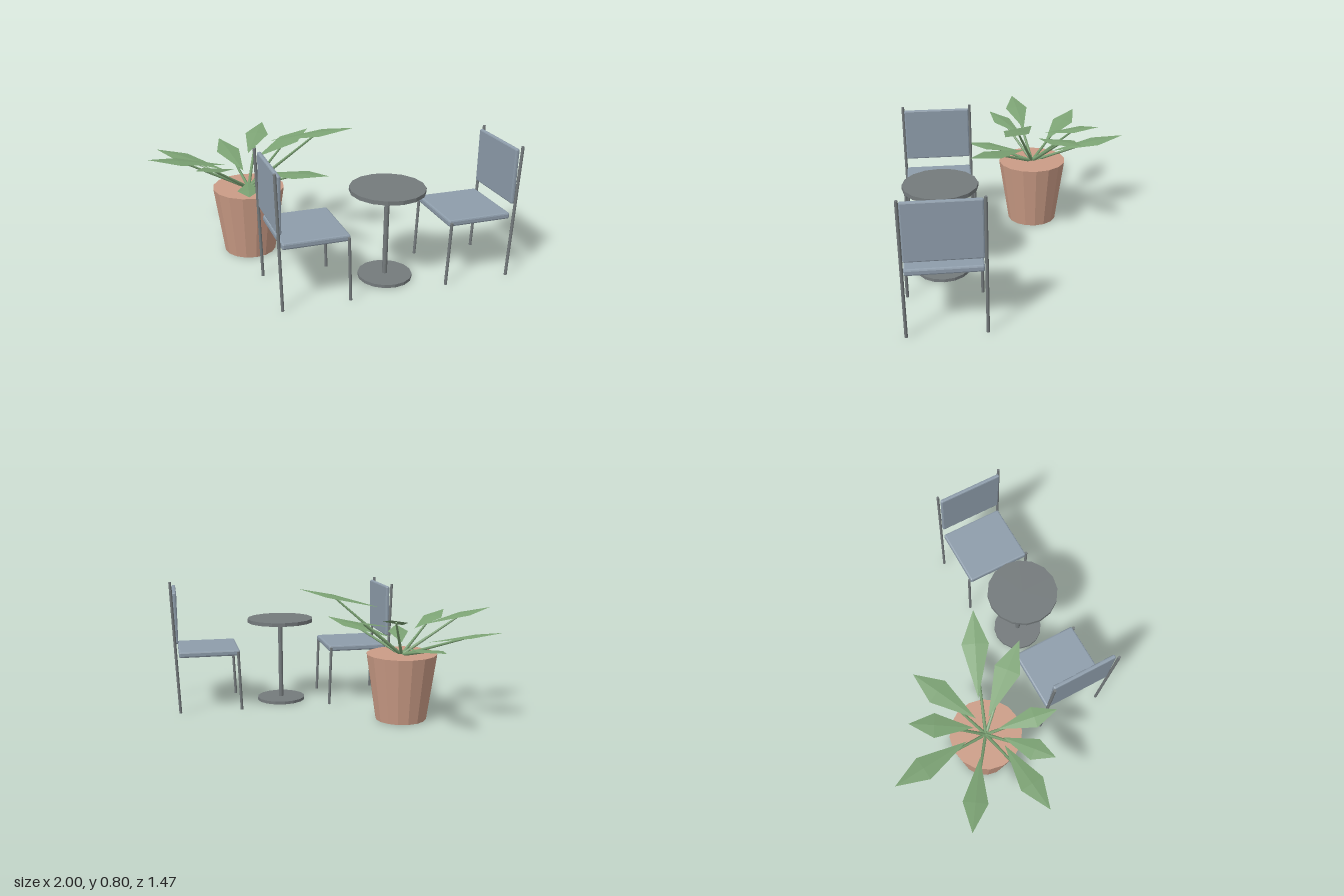
import * as THREE from 'three';
import { RoundedBoxGeometry } from 'three/addons/geometries/RoundedBoxGeometry.js';

function material(name, color) {
  const m = new THREE.MeshStandardMaterial({ color });
  m.name = name;
  return m;
}

// Faceted normals
function faceted(geometry) {
  const g = geometry.index ? geometry.toNonIndexed() : geometry;
  g.computeVertexNormals();
  return g;
}

function addMesh(parent, name, geometry, mat, x = 0, y = 0, z = 0) {
  const mesh = new THREE.Mesh(geometry, mat);
  mesh.name = name;
  mesh.position.set(x, y, z);
  parent.add(mesh);
  return mesh;
}

// Straight rod between two points
function addRod(parent, name, a, b, r0, r1, mat, sides = 8) {
  const dir = b.clone().sub(a);
  const rod = addMesh(parent, name, new THREE.CylinderGeometry(r1, r0, dir.length(), sides), mat);
  rod.position.copy(a).add(b).multiplyScalar(0.5);
  rod.quaternion.setFromUnitVectors(new THREE.Vector3(0, 1, 0), dir.normalize());
  return rod;
}

// Kite-shaped blade, slightly folded along its midrib
function leafGeometry(base, tip, halfWidth) {
  const along = tip.clone().sub(base);
  const side = new THREE.Vector3(along.z, 0, -along.x).normalize().multiplyScalar(halfWidth);
  const mid = base.clone().addScaledVector(along, 0.61);
  const left = mid.clone().add(side);
  const right = mid.clone().sub(side);
  mid.y += 0.007;
  const faces = [base, mid, left, mid, tip, left, base, right, mid, mid, right, tip];
  const g = new THREE.BufferGeometry().setFromPoints(faces);
  g.computeVertexNormals();
  // Wind upward
  if (g.attributes.normal.getY(0) < 0) {
    for (let i = 0; i < faces.length; i += 3) [faces[i], faces[i + 1]] = [faces[i + 1], faces[i]];
    g.setFromPoints(faces);
    g.computeVertexNormals();
  }
  return g;
}

export function createModel() {
  const model = new THREE.Group();
  model.name = 'patioSet';
  const metal = material('grey metal', 0x747a7c);
  const fabric = material('blue grey fabric', 0x8e9dab);
  const clay = material('terracotta', 0xcb9c86);
  const green = material('leaf green', 0x7ca374);
  green.side = THREE.DoubleSide;
  const V = (x, y, z) => new THREE.Vector3(x, y, z);

  // Two chairs facing each other across the table
  const centreX = 0.275, centreZ = 0.513;
  for (const [name, turn] of [['rightChair', 0], ['leftChair', Math.PI]]) {
    const chair = new THREE.Group();
    chair.name = name;
    chair.position.set(centreX, 0, centreZ);
    chair.rotation.y = turn;
    addMesh(chair, 'seat', faceted(new RoundedBoxGeometry(0.387, 0.038, 0.412, 1, 0.01)),
      fabric, -0.4875, 0.377, 0);
    addMesh(chair, 'backrest', faceted(new RoundedBoxGeometry(0.024, 0.33, 0.412, 1, 0.008)),
      fabric, -0.694, 0.615, 0);
    for (const z of [-0.214, 0.214]) {
      addRod(chair, 'backPost', V(-0.686, 0, z), V(-0.717, 0.797, z), 0.009, 0.009, metal);
      addRod(chair, 'frontLeg', V(-0.292, 0, z), V(-0.307, 0.385, z), 0.009, 0.009, metal);
    }
    model.add(chair);
  }

  // Round pedestal table
  const table = new THREE.Group();
  table.name = 'table';
  table.position.set(centreX, 0, centreZ);
  for (const [name, radius, height, y] of [
    ['tableBase', 0.16, 0.019, 0.0095],
    ['tablePole', 0.015, 0.53, 0.275],
    ['tableTop', 0.22, 0.024, 0.55],
  ]) addMesh(table, name, faceted(new THREE.CylinderGeometry(radius, radius, height, 16)), metal, 0, y, 0);
  model.add(table);

  // Tapered pot
  const plant = new THREE.Group();
  plant.name = 'pottedPlant';
  const potX = -0.39, potZ = -0.108, potTop = 0.416;
  addMesh(plant, 'pot', faceted(new THREE.CylinderGeometry(0.22, 0.16, potTop, 16)),
    clay, potX, potTop / 2, potZ);

  // Leaves: tip x, y, z, then base x, z, drop from tip to base, half width
  const leaves = [
    [-0.446, 0.54, -0.734, -0.39, -0.24, 0.07, 0.076],
    [-0.896, 0.59, -0.472, -0.52, -0.22, 0.09, 0.074],
    [-0.195, 0.696, -0.509, -0.37, -0.18, 0.09, 0.074],
    [0.067, 0.674, -0.349, -0.32, -0.14, 0.085, 0.08],
    [-0.997, 0.675, -0.039, -0.54, -0.07, 0.09, 0.074],
    [-0.751, 0.643, 0.143, -0.49, -0.05, 0.085, 0.068],
    [-0.484, 0.52, 0.325, -0.41, -0.04, 0.05, 0.066],
    [-0.013, 0.592, 0.325, -0.33, -0.06, 0.08, 0.082],
    [0.211, 0.804, 0.127, -0.25, -0.087, 0.1, 0.08],
  ];
  const root = V(potX, potTop - 0.01, potZ);
  for (const [tx, ty, tz, bx, bz, drop, halfWidth] of leaves) {
    const tip = V(tx, ty, tz);
    const base = V(bx, ty - drop, bz);
    addMesh(plant, 'leaf', leafGeometry(base, tip, halfWidth), green);
    addRod(plant, 'stem', root, base.clone().lerp(tip, 0.56), 0.011, 0.006, green, 5);
  }
  model.add(plant);
  return model;
}
